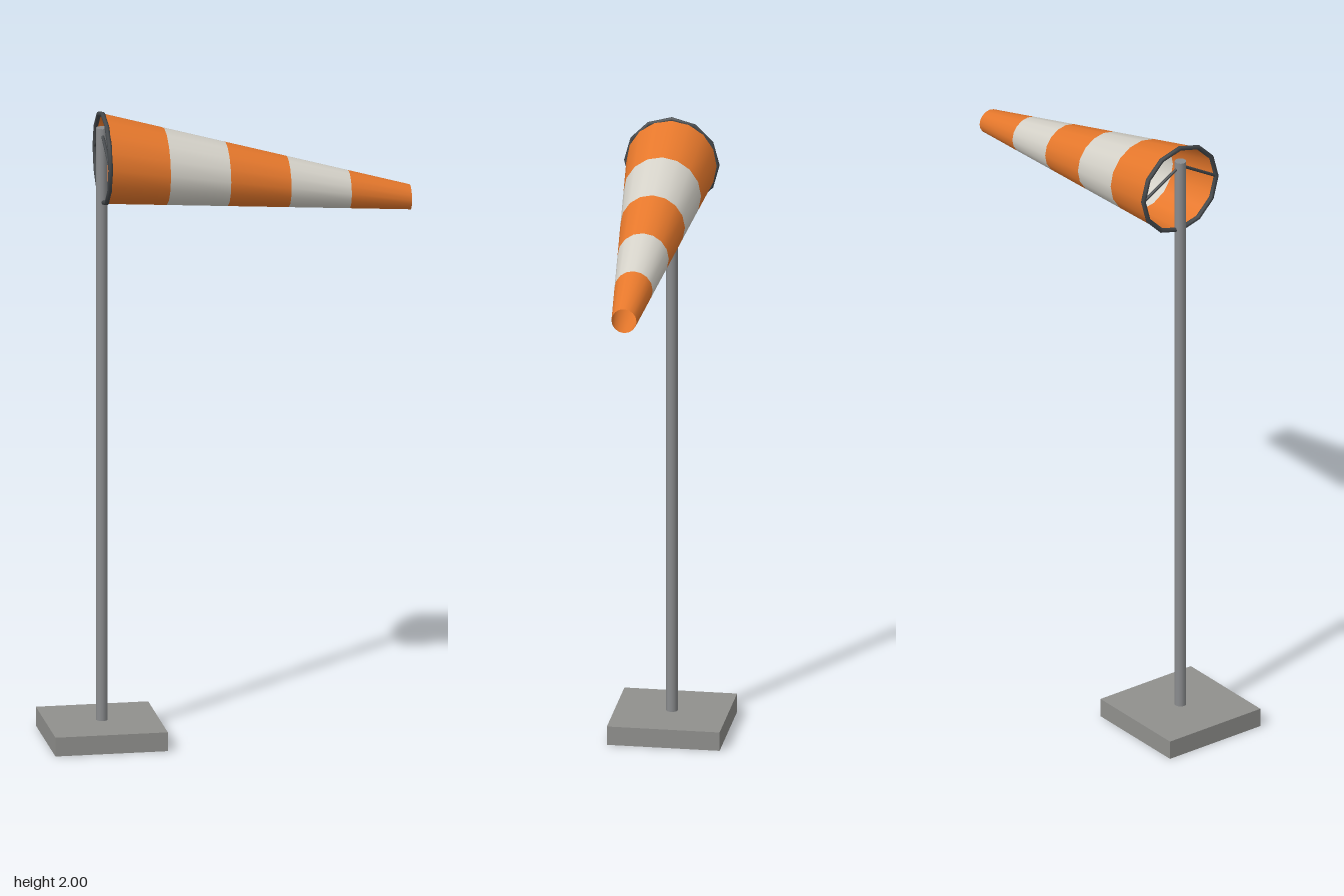
import * as THREE from 'three';

const material = (name, color, side = THREE.FrontSide) => {
  const m = new THREE.MeshStandardMaterial({ color, side });
  m.name = name;
  return m;
};

export function createModel() {
  const group = new THREE.Group();
  const concrete = material('concrete grey', 0x90908d);
  const steel = material('steel grey', 0x8a8c8e);
  const dark = material('dark metal', 0x43474a);
  const orange = material('orange fabric', 0xe8792c, THREE.DoubleSide);
  const white = material('white fabric', 0xd6d3ca, THREE.DoubleSide);

  const add = (name, geometry, mat, x = 0, y = 0, z = 0) => {
    const mesh = new THREE.Mesh(geometry, mat);
    mesh.name = name;
    mesh.position.set(x, y, z);
    group.add(mesh);
    return mesh;
  };

  const poleX = -0.395, mouthX = -0.392, mouthY = 1.852, mouthR = 0.141;

  // Base slab and pole
  add('base', new THREE.BoxGeometry(0.35, 0.06, 0.35), concrete, poleX, 0.03, 0);
  add('pole', new THREE.CylinderGeometry(0.018, 0.018, 1.9, 12), steel, poleX, 1.0, 0);

  // Hoop at the mouth of the sock
  const hoop = new THREE.TorusGeometry(mouthR, 0.0075, 8, 12).rotateY(Math.PI / 2);
  add('hoop', hoop, dark, mouthX, mouthY, 0);

  // Struts from the pole top to both sides of the hoop
  for (const side of [1, -1]) {
    const path = new THREE.LineCurve3(
      new THREE.Vector3(poleX, 1.935, 0),
      new THREE.Vector3(mouthX, mouthY, side * mouthR));
    add(side > 0 ? 'frontStrut' : 'backStrut', new THREE.TubeGeometry(path, 1, 0.005, 6), dark);
  }

  // Tapered sock in five bands, sheared so that it droops with upright ends
  const bands = 5, tipX = 0.565, tipY = 1.682, tipR = 0.039;
  const length = tipX - mouthX, slope = (tipY - mouthY) / length;
  const radius = t => THREE.MathUtils.lerp(mouthR, tipR, t);
  const shear = new THREE.Matrix4().makeShear(slope, 0, 0, 0, 0, 0);
  for (let i = 0; i < bands; i++) {
    const band = new THREE.CylinderGeometry(
      radius((i + 1) / bands), radius(i / bands), length / bands, 16, 1, true);
    band.rotateZ(-Math.PI / 2).translate((i + 0.5) * length / bands, 0, 0).applyMatrix4(shear);
    add('sockBand' + (i + 1), band, i % 2 ? white : orange, mouthX, mouthY, 0);
  }

  return group;
}
